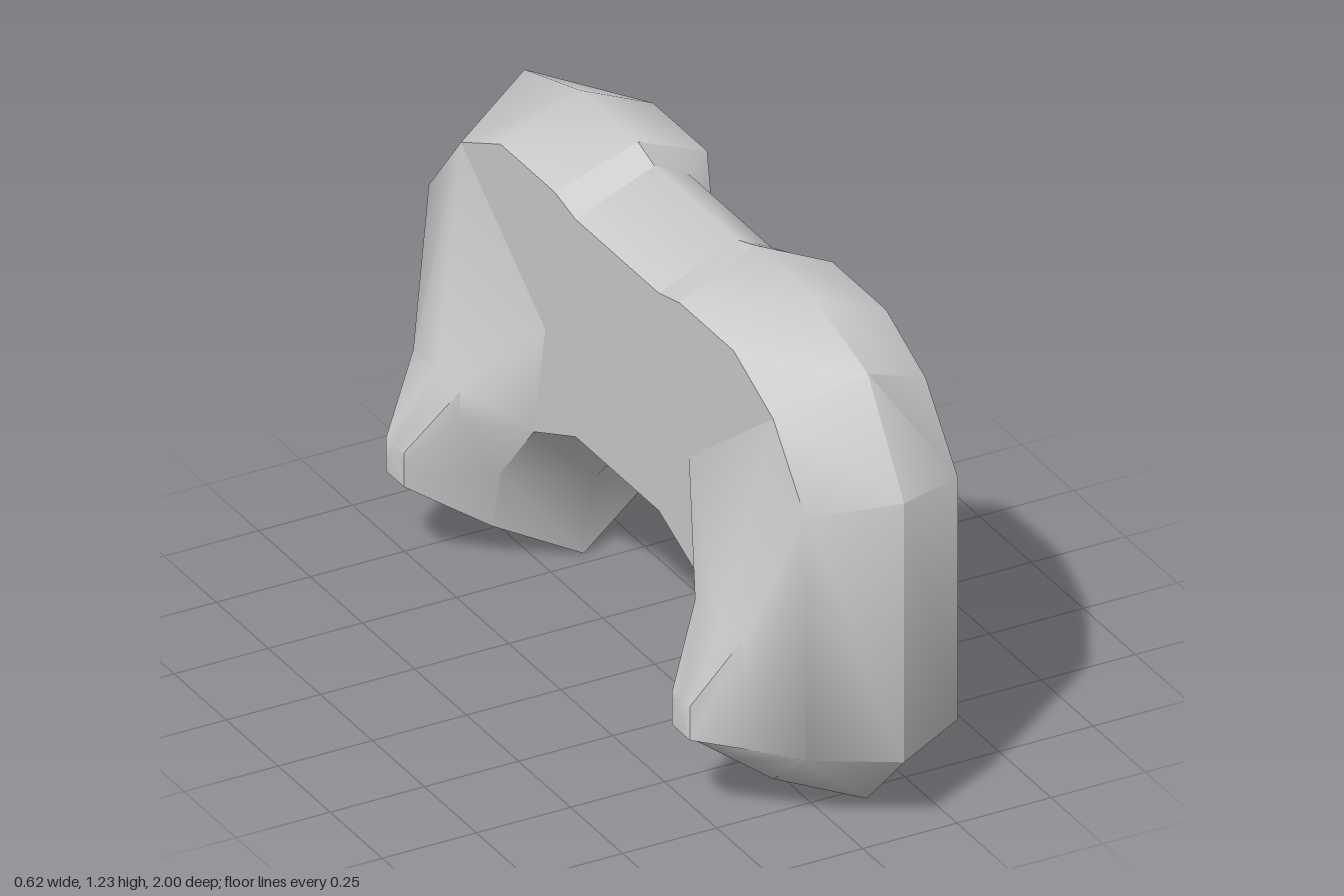
import * as THREE from 'three';
import { toCreasedNormals } from 'three/addons/utils/BufferGeometryUtils.js';

const LEFT = -0.1, MID = 0.11, RIGHT = 0.305;
const grey = new THREE.MeshStandardMaterial({ color: 0xcccccc });
grey.name = 'lightGrey';

// half outline: [ridge z, ridge y, side face z, side face y]
const HALF = [
  [0.2, 1.2, 0.2, 1.115],
  [0.28, 1.225, 0.3, 1.138],
  [0.56, 1.225, 0.56, 1.138],
  [0.825, 1.15, 0.75, 1.05],
  [1, 0.89, 0.905, 0.86],
  [1, 0.2, 0.905, 0.215],
  [0.82, 0.015, 0.75, 0.09],
  [0.54, 0, 0.6, 0.1],
  [0.485, 0.23, 0.56, 0.26],
  [0.33, 0.39, 0.4, 0.45],
  [0.2, 0.45, 0.2, 0.535],
];

// saddle groove: rim and floor paths from the ridge down the right face
const GROOVE_RIM = [
  [MID, 1.225, 0.28], [0.2, 1.185, 0.289], [RIGHT, 1.138, 0.3],
  [RIGHT, 0.8, 0.3], [RIGHT, 0.705, 0.12],
];
const GROOVE_FLOOR = [
  [MID, 1.2, 0.2], [0.2, 1.155, 0.2], [0.26, 1.08, 0.2],
  [0.28, 0.85, 0.2], [0.283, 0.78, 0.1],
];

// side spur: base, middle and tip loops
const SPUR = [
  [[1.05, 0.75], [0.505, 0.68], [0.33, 0.69]],
  [[0.86, 0.905], [0.505, 0.79], [0.33, 0.73]],
  [[0.215, 0.905], [0.23, 0.818], [0.24, 0.73]],
  [[0.09, 0.75], [0.165, 0.725], [0.24, 0.7]],
  [[0.1, 0.6], [0.17, 0.62], [0.24, 0.645]],
  [[0.26, 0.56], [0.27, 0.6], [0.28, 0.645]],
  [[0.45, 0.4], [0.43, 0.565], [0.31, 0.645]],
  [[0.75, 0.345], [0.505, 0.565], [0.33, 0.645]],
];
const SPUR_X = [LEFT, -0.205, -0.31];

const flip = ([x, y, z]) => [x, y, -z];

// collects triangles and turns them into a named mesh
class Surface {
  constructor(name) { this.name = name; this.pos = []; }
  tri(a, b, c) { this.pos.push(...a, ...b, ...c); }
  quad(a, b, c, d) { this.tri(a, b, c); this.tri(a, c, d); }
  quadPair(a, b, c, d) {
    this.quad(a, b, c, d);
    this.quad(flip(d), flip(c), flip(b), flip(a));
  }
  // flat face across x, facing the given sign
  face(points, sign) {
    const flat = points.map(([, y, z]) => new THREE.Vector2(z, y));
    for (const [i, j, k] of THREE.ShapeUtils.triangulateShape(flat, [])) {
      const area = THREE.ShapeUtils.area([flat[i], flat[j], flat[k]]);
      if (-area * sign > 0) this.tri(points[i], points[j], points[k]);
      else this.tri(points[i], points[k], points[j]);
    }
  }
  mesh(crease = 1.0) {
    const g = new THREE.BufferGeometry();
    g.setAttribute('position', new THREE.Float32BufferAttribute(this.pos, 3));
    const m = new THREE.Mesh(toCreasedNormals(g, crease), grey);
    m.name = this.name;
    return m;
  }
}

function createSpur(name, mirrored) {
  const s = new Surface(name);
  const at = (i, r) => {
    const [y, z] = SPUR[i % SPUR.length][r];
    return [SPUR_X[r], y, mirrored ? -z : z];
  };
  const tri = (a, b, c) => (mirrored ? s.tri(a, c, b) : s.tri(a, b, c));
  for (let i = 0; i < SPUR.length; i++) {
    for (let r = 0; r < 2; r++) {
      const a = at(i, r), b = at(i, r + 1), c = at(i + 1, r + 1), d = at(i + 1, r);
      tri(a, b, c);
      tri(a, c, d);
    }
    if (i > 0 && i < SPUR.length - 1) tri(at(0, 2), at(i + 1, 2), at(i, 2));
  }
  return s.mesh(0.9);
}

export function createModel() {
  const group = new THREE.Group();
  group.name = 'archBlock';

  const loop = [...HALF, ...HALF.map(([a, b, c, d]) => [-a, b, -c, d]).reverse()];
  const n = loop.length;
  const left = loop.map((c) => [LEFT, c[3], c[2]]);
  const ridge = loop.map((c) => [MID, c[1], c[0]]);
  const right = loop.map((c) => [RIGHT, c[3], c[2]]);

  const rim = new Surface('roundedRim');
  const bevel = new Surface('grooveBevel');
  const floor = new Surface('grooveFloor');

  // rim bands on both sides of the ridge, open at the groove
  for (let i = 0; i < n; i++) {
    const j = (i + 1) % n;
    const part = i === n - 1 ? floor : i === 0 || i === n - 2 ? bevel : rim;
    part.quad(left[i], left[j], ridge[j], ridge[i]);
    if (part === rim) rim.quad(ridge[i], ridge[j], right[j], right[i]);
  }

  // groove walls and floor
  const O = GROOVE_RIM, I = GROOVE_FLOOR;
  for (let k = 0; k < O.length - 1; k++) {
    bevel.quadPair(O[k], O[k + 1], I[k + 1], I[k]);
    floor.quad(I[k], I[k + 1], flip(I[k + 1]), flip(I[k]));
  }
  bevel.quad(O[4], flip(O[4]), flip(I[4]), I[4]);

  // flat sides
  const leftFace = new Surface('leftSideFace');
  leftFace.face(left, -1);
  const rightFace = new Surface('rightSideFace');
  rightFace.face([...right.slice(1, n - 1), flip(O[3]), flip(O[4]), O[4], O[3]], 1);

  group.add(
    rim.mesh(), bevel.mesh(0.6), floor.mesh(), leftFace.mesh(), rightFace.mesh(),
    createSpur('frontSpur', false), createSpur('backSpur', true),
  );
  return group;
}
